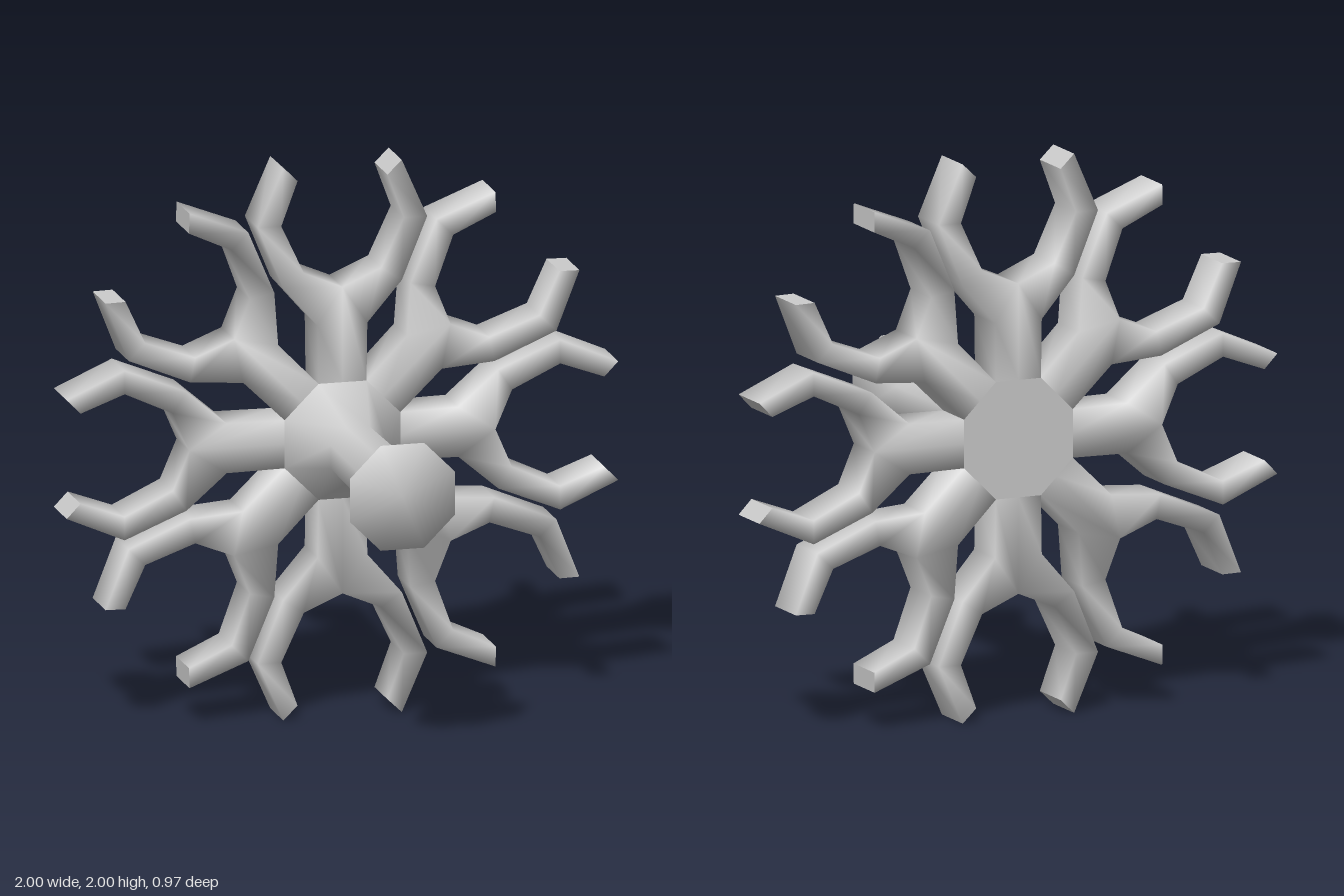
import * as THREE from 'three';
import { mergeVertices, mergeGeometries } from 'three/addons/utils/BufferGeometryUtils.js';

const FRONT = -0.31, BACK = -0.483, SIDES = 8;
const toCorner = 1 / Math.cos(Math.PI / SIDES); // flat-to-centre distance -> corner radius

// Half a branch pointing up: [outer x, outer y, inner x, inner y] per section
const SECTIONS = [
  [0.087, 0.21, 0, 0.21],
  [0.09, 0.42, 0, 0.555],
  [0.215, 0.565, 0.14, 0.615],
  [0.307, 0.79, 0.222, 0.79],
  [0.215, 1.0, 0.163, 0.95],
];

// Geometry from quads of Vector3 corners, smoothed over shared corners
function quadGeometry(quads) {
  const points = quads.flatMap(([a, b, c, d]) => [a, b, c, a, c, d]);
  const geometry = mergeVertices(new THREE.BufferGeometry().setFromPoints(points), 1e-4);
  geometry.computeVertexNormals();
  return geometry;
}

// Trunk that forks into two bent prongs, with crisp flat tips
function branchGeometry() {
  const body = [], tips = [];
  for (const side of [1, -1]) {
    const rings = SECTIONS.map(([ox, oy, ix, iy]) => [
      new THREE.Vector3(side * ox, oy, FRONT),
      new THREE.Vector3(side * ix, iy, FRONT),
      new THREE.Vector3(side * ix, iy, BACK),
      new THREE.Vector3(side * ox, oy, BACK),
    ]);
    const add = (list, quad) => list.push(side > 0 ? quad : quad.reverse());
    for (let s = 0; s < rings.length - 1; s++) {
      for (let k = 0; k < 4; k++) {
        if (s === 0 && k === 1) continue; // the halves join here
        const n = (k + 1) % 4;
        add(body, [rings[s][k], rings[s + 1][k], rings[s + 1][n], rings[s][n]]);
      }
    }
    const [a, b, c, d] = rings[rings.length - 1];
    add(tips, [a, d, c, b]);
  }
  return mergeGeometries([quadGeometry(body), quadGeometry(tips)]);
}

export function createModel() {
  const model = new THREE.Group();
  const material = new THREE.MeshStandardMaterial({ color: 0xcccccc });
  const pivot = new THREE.Group();
  pivot.name = 'body';
  pivot.position.y = 1;
  model.add(pivot);

  const add = (name, geometry) => {
    const mesh = new THREE.Mesh(geometry, material);
    mesh.name = name;
    pivot.add(mesh);
    return mesh;
  };

  // Eight-sided stem flaring at both ends, closed at the front
  const profile = [[0.21, FRONT], [0.1, -0.1], [0.107, 0.3], [0.19, 0.483], [0, 0.483]]
    .map(([r, z]) => new THREE.Vector2(r * toCorner, z));
  add('stem', new THREE.LatheGeometry(profile, SIDES, Math.PI / SIDES).rotateX(Math.PI / 2));

  // Flat back of the hub
  add('hubBack', new THREE.CircleGeometry(0.21 * toCorner, SIDES, Math.PI / SIDES)
    .rotateY(Math.PI).translate(0, 0, BACK));

  // Ring of forked branches
  const branch = branchGeometry();
  for (let i = 0; i < SIDES; i++) {
    add('branch' + (i + 1), branch).rotation.z = (i / SIDES) * Math.PI * 2;
  }
  return model;
}
